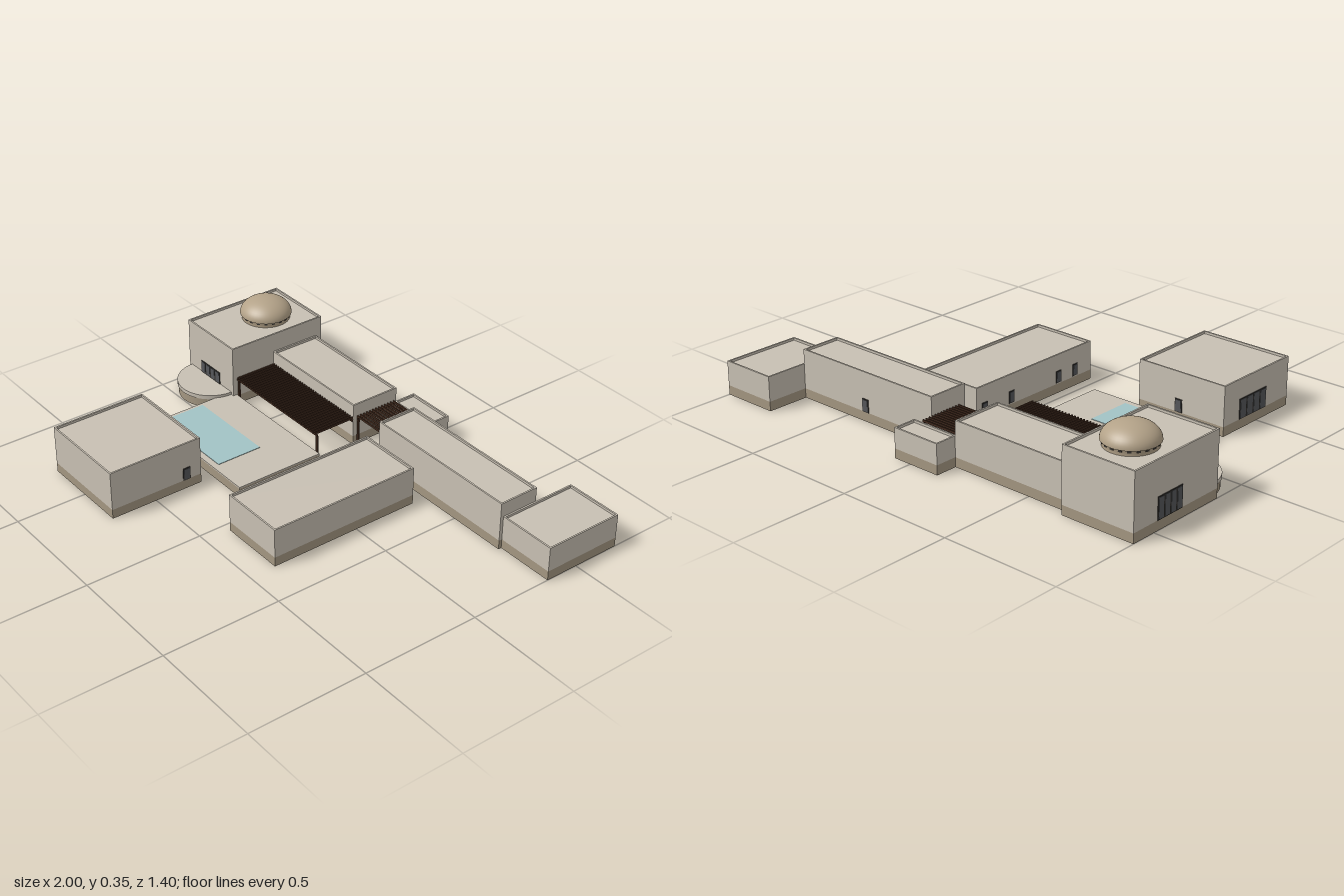
import * as THREE from 'three';

const mat = (name, color, side = THREE.FrontSide) => {
  const m = new THREE.MeshStandardMaterial({ color, side });
  m.name = name;
  return m;
};

export function createModel() {
  const root = new THREE.Group();
  root.name = 'courtyardVilla';
  const plaster = mat('plaster', 0xc8c0b3);
  const stone = mat('stoneBase', 0xa39681);
  const domeTan = mat('domeTan', 0xb3a288);
  const wood = mat('darkWood', 0x432c1f);
  const water = mat('poolWater', 0xa2c3c5);
  const glass = mat('glass', 0x55575a);
  const frame = mat('windowFrame', 0x35322f);

  const add = (parent, name, geo, material, x = 0, y = 0, z = 0) => {
    const m = new THREE.Mesh(geo, material);
    m.name = name;
    m.position.set(x, y, z);
    parent.add(m);
    return m;
  };
  // Box given by its extents
  const box = (parent, name, material, x0, x1, y0, y1, z0, z1) =>
    add(parent, name, new THREE.BoxGeometry(x1 - x0, y1 - y0, z1 - z0), material,
      (x0 + x1) / 2, (y0 + y1) / 2, (z0 + z1) / 2);
  const group = (name) => {
    const g = new THREE.Group();
    g.name = name;
    root.add(g);
    return g;
  };

  // Building volume: stone base, plaster walls, sunken roof behind a parapet
  const BASE = 0.04, RIM = 0.007, SUNK = 0.01;
  const block = (name, x0, x1, z0, z1, h) => {
    const g = group(name);
    box(g, 'base', stone, x0, x1, 0, BASE, z0, z1);
    box(g, 'walls', plaster, x0, x1, BASE, h - SUNK, z0, z1);
    const w = (x1 - x0) / 2, d = (z1 - z0) / 2;
    const rect = (s, a, b) => s.moveTo(-a, -b).lineTo(a, -b).lineTo(a, b).lineTo(-a, b).closePath();
    const shape = rect(new THREE.Shape(), w, d);
    shape.holes.push(rect(new THREE.Path(), w - RIM, d - RIM));
    const geo = new THREE.ExtrudeGeometry(shape, { depth: SUNK, bevelEnabled: false });
    geo.rotateX(-Math.PI / 2);
    add(g, 'parapet', geo, plaster, (x0 + x1) / 2, h - SUNK, (z0 + z1) / 2);
  };
  block('tower', -1, -0.68, -0.61, -0.145, 0.27);
  block('mainHall', -0.68, -0.14, -0.58, -0.355, 0.187);
  block('storeRoom', -0.14, 0.078, -0.675, -0.573, 0.125);
  block('longWing', 0.04, 0.75, -0.52, -0.342, 0.207);
  block('endRoom', 0.75, 1, -0.703, -0.356, 0.145);
  block('sideWing', 0.04, 0.326, -0.28, 0.387, 0.165);
  block('guestHouse', -0.705, -0.295, 0.287, 0.7, 0.207);

  // Pool terrace
  const terrace = group('poolTerrace');
  box(terrace, 'terraceBase', stone, -0.713, -0.115, 0, BASE, -0.163, 0.23);
  box(terrace, 'terraceFloor', plaster, -0.713, -0.115, BASE, 0.046, -0.163, 0.23);
  box(terrace, 'poolSurface', water, -0.698, -0.295, 0.045, 0.048, 0, 0.203);

  // Half-round balcony in front of the tower
  const balcony = group('roundBalcony');
  const halfDrum = (name, r, y0, y1, m) =>
    add(balcony, name, new THREE.CylinderGeometry(r, r, y1 - y0, 32, 1, false, -Math.PI / 2, Math.PI),
      m, -0.84, (y0 + y1) / 2, -0.145);
  halfDrum('balconyBase', 0.14, 0, BASE, stone);
  halfDrum('balconySlab', 0.145, BASE, 0.058, plaster);

  // Dome on a low drum with a ring of small windows
  const dome = group('dome');
  dome.position.set(-0.84, 0.26, -0.435);
  const profile = [[0.103, 0], [0.103, 0.022], [0.11, 0.022]].map(p => new THREE.Vector2(...p));
  add(dome, 'drum', new THREE.LatheGeometry(profile, 40), domeTan);
  const shell = new THREE.SphereGeometry(0.11, 40, 14, 0, Math.PI * 2, 0, Math.PI / 2);
  shell.scale(1, 0.068 / 0.11, 1);
  add(dome, 'domeShell', shell, domeTan, 0, 0.022, 0);
  for (let i = 0; i < 20; i++) {
    const a = (i / 20) * Math.PI * 2;
    const pane = add(dome, 'drumWindow', new THREE.BoxGeometry(0.014, 0.007, 0.003), frame,
      Math.sin(a) * 0.103, 0.016, Math.cos(a) * 0.103);
    pane.rotation.y = a;
  }

  // Windows: thin frame plate with glass panes, turned to face outwards
  const opening = (name, x, z, angle, width, y0, y1, panes = 1) => {
    const g = group(name);
    g.position.set(x, (y0 + y1) / 2, z);
    g.rotation.y = angle;
    const h = y1 - y0, step = width / panes;
    add(g, 'frame', new THREE.BoxGeometry(width, h, 0.005), frame);
    for (let i = 0; i < panes; i++)
      add(g, 'pane', new THREE.BoxGeometry(step - 0.008, h - 0.008, 0.008), glass,
        (i + 0.5) * step - width / 2, 0, 0);
  };
  const FRONT = 0, BACK = Math.PI, LEFT = Math.PI / 2, RIGHT = -Math.PI / 2;
  opening('towerFrontWindow', -0.843, -0.145, FRONT, 0.135, 0.058, 0.113, 4);
  opening('towerSideWindow', -1, -0.415, RIGHT, 0.135, 0.04, 0.13, 4);
  opening('towerCourtDoor', -0.68, -0.305, LEFT, 0.034, 0.04, 0.095);
  opening('guestSideWindow', -0.705, 0.47, RIGHT, 0.17, 0.04, 0.125, 4);
  opening('guestBackDoor', -0.49, 0.287, BACK, 0.034, 0.04, 0.095);
  opening('guestCourtDoor', -0.295, 0.355, LEFT, 0.034, 0.04, 0.095);
  opening('longWingBackDoor', 0.4, -0.52, BACK, 0.034, 0.04, 0.095);
  for (const z of [-0.235, -0.085, 0.19, 0.29])
    opening('sideWingWindow', 0.04, z, RIGHT, 0.03, 0.045, 0.095);

  // Pergola over the court: beams, posts and slats running front to back
  const T = 0.006;
  const court = group('courtPergola');
  for (const z of [-0.351, -0.172])
    box(court, 'beam', wood, -0.68, -0.136, 0.115, 0.123, z, z + T);
  for (const x of [-0.674, -0.142])
    box(court, 'post', wood, x, x + 0.008, 0, 0.115, -0.173, -0.165);
  for (let i = 0; i < 36; i++) {
    const x = -0.675 + i * 0.0151;
    box(court, 'slat', wood, x, x + 0.0055, 0.123, 0.132, -0.355, -0.163);
  }

  // Pergola over the passage: slats running side to side
  const passage = group('passagePergola');
  for (const x of [-0.14, 0.034])
    box(passage, 'beam', wood, x, x + T, 0.115, 0.123, -0.57, -0.375);
  for (const x of [-0.14, 0.032])
    box(passage, 'post', wood, x, x + 0.008, 0, 0.115, -0.383, -0.375);
  for (let i = 0; i < 13; i++) {
    const z = -0.568 + i * 0.0156;
    box(passage, 'slat', wood, -0.14, 0.04, 0.123, 0.132, z, z + 0.0055);
  }

  return root;
}
